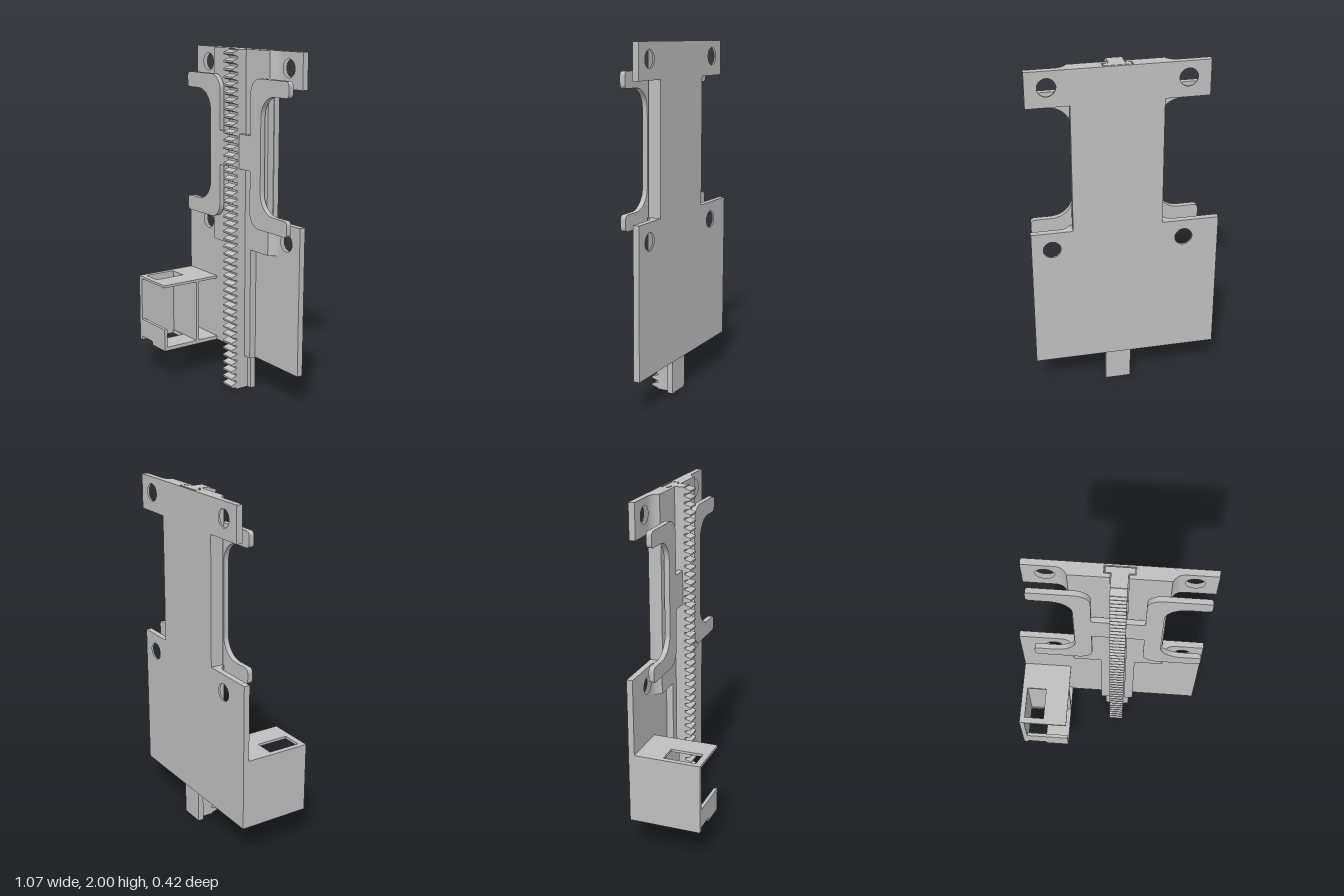
import * as THREE from 'three';

const MID = 0.04; // the sliding parts are symmetric about this x
const mirror = (x, s) => (s < 0 ? x : 2 * MID - x);

export function createModel() {
  const model = new THREE.Group();
  model.name = 'rackSlideAssembly';
  const grey = new THREE.MeshStandardMaterial({ color: 0xbfbfbf });
  grey.name = 'grey plastic';

  const add = (geometry, name, parent = model) => {
    const mesh = new THREE.Mesh(geometry, grey);
    mesh.name = name;
    parent.add(mesh);
    return mesh;
  };
  const group = (name) => {
    const g = new THREE.Group();
    g.name = name;
    model.add(g);
    return g;
  };
  const box = (x0, x1, y0, y1, z0, z1, name, parent) => {
    const g = new THREE.BoxGeometry(x1 - x0, y1 - y0, z1 - z0);
    g.translate((x0 + x1) / 2, (y0 + y1) / 2, (z0 + z1) / 2);
    return add(g, name, parent);
  };
  const polygon = (pts) => new THREE.Shape(pts.map(([x, y]) => new THREE.Vector2(x, y)));
  const extrude = (shape, depth) =>
    new THREE.ExtrudeGeometry(shape, { depth, bevelEnabled: false, curveSegments: 12 });
  // front outline in (x, y), thick from z0 to z1
  const slab = (shape, z0, z1, name, parent) =>
    add(extrude(shape, z1 - z0).translate(0, 0, z0), name, parent);
  // plan outline in (x, -z), tall from y0 to y1
  const prism = (shape, y0, y1, name, parent) =>
    add(extrude(shape, y1 - y0).rotateX(-Math.PI / 2).translate(0, y0, 0), name, parent);
  const drill = (shape, x, y, r) => {
    shape.holes.push(new THREE.Path().absarc(x, y, r, 0, Math.PI * 2, true));
    return shape;
  };

  // Back plate: a thin rear sheet, and two halves that leave the slot open
  const plate = group('backPlate');
  const leftEdge = [[-0.535, 0.2], [-0.535, 1.055], [-0.21, 1.055], [-0.21, 1.8], [-0.455, 1.8], [-0.455, 2]];
  const rightEdge = [[0.53, 2], [0.53, 1.8], [0.295, 1.8], [0.295, 1.055], [0.53, 1.055], [0.53, 0.2]];
  const holeY = [0.95, 1.91];
  const rear = polygon([...leftEdge, ...rightEdge]);
  const halfA = polygon([...leftEdge, [-0.04, 2], [-0.04, 0.2]]);
  const halfB = polygon([...rightEdge, [0.12, 0.2], [0.12, 2]]);
  for (const y of holeY) {
    drill(rear, -0.335, y, 0.05);
    drill(rear, 0.415, y, 0.05);
    drill(halfA, -0.335, y, 0.05);
    drill(halfB, 0.415, y, 0.05);
  }
  slab(rear, -0.21, -0.2, 'rearSheet', plate);
  slab(halfA, -0.2, -0.175, 'plateHalfRight', plate);
  slab(halfB, -0.2, -0.175, 'plateHalfLeft', plate);

  // Raised guide rails with lips that hold the rack in its slot
  const rails = group('guideRails');
  const railShape = (s, outer, filleted) => {
    const shape = new THREE.Shape();
    const X = (x) => mirror(x, s);
    if (filleted) {
      shape.moveTo(X(-0.285), 0.175);
      shape.bezierCurveTo(X(-0.25), 0.174, X(-0.235), 0.158, X(-0.22), 0.135);
    } else {
      shape.moveTo(X(outer), 0.175);
      shape.lineTo(X(outer), 0.135);
    }
    for (const [x, d] of [[-0.007, 0.135], [-0.007, 0.157], [-0.04, 0.157], [-0.04, 0.175]]) {
      shape.lineTo(X(x), d);
    }
    shape.closePath();
    return shape;
  };
  for (const s of [-1, 1]) {
    prism(railShape(s, -0.06, false), 0.2, 0.86, 'lowerRail', rails);
    prism(railShape(s, 0, true), 0.86, 1.055, 'middleRail', rails);
    prism(railShape(s, -0.21, false), 1.055, 1.8, 'neckRail', rails);
    prism(railShape(s, 0, true), 1.8, 2, 'topRail', rails);
  }

  // Toothed rack: T-shaped flange behind, stem and teeth in front
  const rack = group('rack');
  box(-0.035, 0.115, 0, 2, -0.195, -0.162, 'rackFlange', rack);
  const teeth = 45, pitch = 2 / teeth, root = -0.082, tip = -0.045;
  const side = [[-0.165, 0], [root, 0]];
  for (let i = 0; i < teeth; i++) {
    const y = i * pitch;
    side.push([root, y + 0.12 * pitch], [tip - 0.004, y + 0.33 * pitch], [tip, y + 0.4 * pitch],
      [tip, y + 0.6 * pitch], [tip - 0.004, y + 0.67 * pitch], [root, y + 0.88 * pitch]);
  }
  side.push([root, 2], [-0.165, 2]);
  add(extrude(polygon(side), 0.087).rotateY(-Math.PI / 2).translate(0.0835, 0, 0), 'rackTeeth', rack);

  // Spring clip: four curved arms joined by a bridge across the rack
  const clip = group('springClip');
  const CY = 1.43;
  for (const s of [-1, 1]) {
    for (const v of [-1, 1]) {
      const P = (x, y) => [mirror(x, s), CY + v * y];
      const arm = new THREE.Shape();
      arm.moveTo(...P(MID, 0));
      arm.lineTo(...P(-0.2, 0));
      arm.lineTo(...P(-0.2, 0.21));
      arm.bezierCurveTo(...P(-0.2, 0.276), ...P(-0.254, 0.33), ...P(-0.32, 0.33));
      arm.lineTo(...P(-0.41, 0.33));
      arm.quadraticCurveTo(...P(-0.437, 0.33), ...P(-0.437, 0.357));
      arm.lineTo(...P(-0.437, 0.393));
      arm.quadraticCurveTo(...P(-0.437, 0.42), ...P(-0.41, 0.42));
      arm.lineTo(...P(-0.19, 0.42));
      arm.bezierCurveTo(...P(-0.143, 0.42), ...P(-0.105, 0.382), ...P(-0.105, 0.335));
      arm.lineTo(...P(-0.105, 0.1));
      arm.lineTo(...P(MID, 0.1));
      arm.closePath();
      slab(arm, -0.122, -0.092, 'clipArm', clip);
    }
  }

  // Open holder on the lower corner
  const holder = group('holder');
  const sheet = polygon([[-0.535, -0.21], [-0.25, -0.21], [-0.25, 0.175], [-0.535, 0.175]]);
  sheet.holes.push(new THREE.Path([[-0.505, -0.175], [-0.39, -0.175], [-0.39, 0.015], [-0.505, 0.015]]
    .map(([x, y]) => new THREE.Vector2(x, y))));
  prism(sheet, 0.595, 0.61, 'holderTop', holder);
  const floor = polygon([[-0.535, -0.21], [-0.51, -0.21], [-0.51, 0.015], [-0.395, 0.015],
    [-0.395, -0.21], [-0.25, -0.21], [-0.25, 0.175], [-0.535, 0.175]]);
  prism(floor, 0.2, 0.222, 'holderFloor', holder);
  box(-0.535, -0.507, 0.222, 0.595, -0.175, 0.21, 'holderSide', holder);
  box(-0.507, -0.25, 0.222, 0.595, -0.038, -0.02, 'holderBack', holder);
  box(-0.507, -0.25, 0.222, 0.335, 0.19, 0.21, 'holderFrontLip', holder);

  return model;
}
